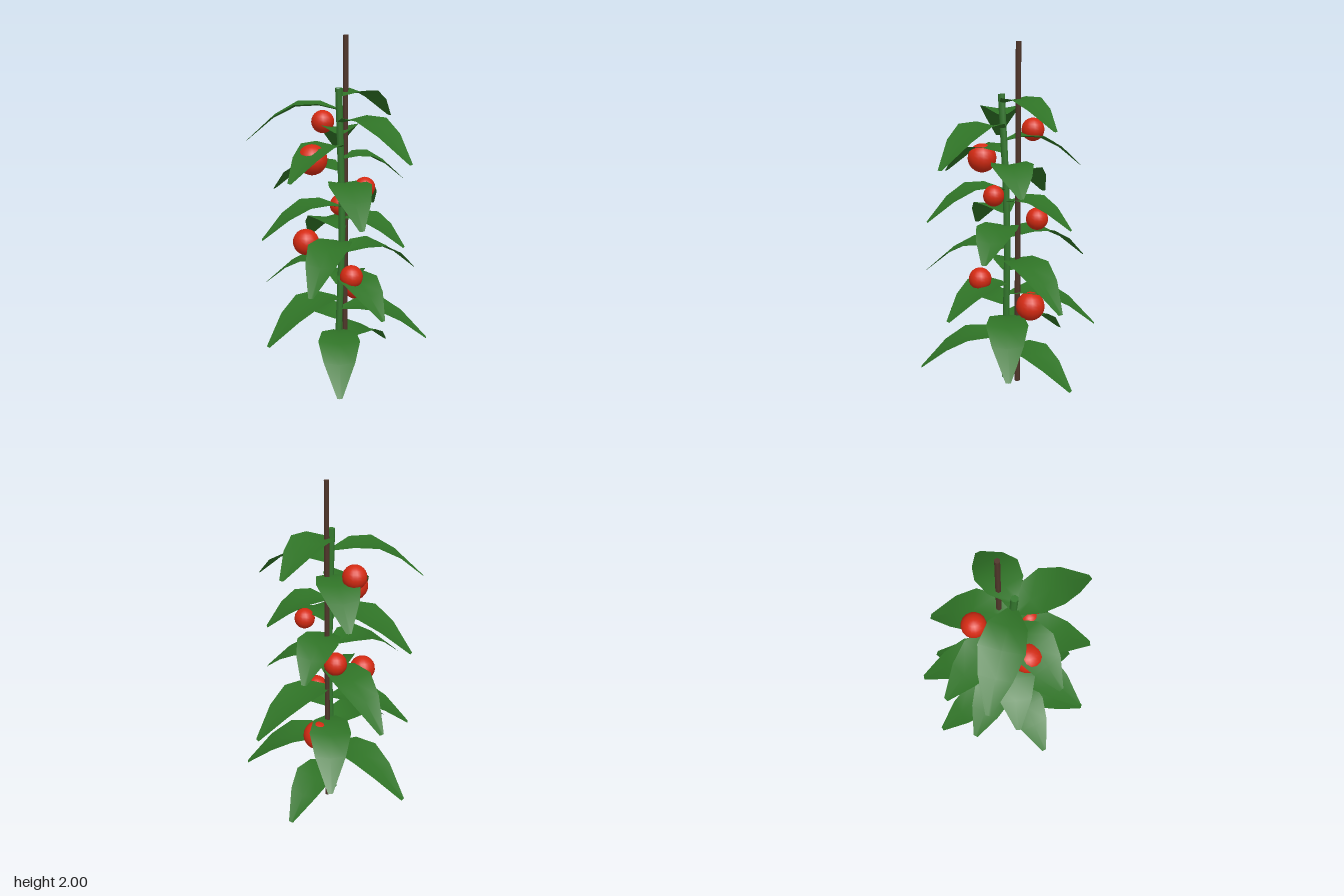
import * as THREE from 'three';

const material = (name, color, side = THREE.FrontSide) => {
  const m = new THREE.MeshStandardMaterial({ color, side });
  m.name = name;
  return m;
};

// Leaf cross-sections: [fraction of length, height, half width, edge lift]
const LEAF_ROWS = [
  [0, 0, 0.03, 0.008],
  [0.2, 0.022, 0.1, 0.018],
  [0.45, 0.016, 0.12, 0.02],
  [0.7, -0.045, 0.088, 0.013],
  [1, -0.165, 0.014, 0.002],
];

// A cupped, drooping blade that grows along +x
function leafGeometry(length) {
  const positions = [], index = [];
  const droop = length / 0.48;
  LEAF_ROWS.forEach(([t, y, w, lift], i) => {
    for (let j = -1; j <= 1; j++) {
      positions.push(t * length, y * droop + Math.abs(j) * lift, j * w);
    }
    if (i === LEAF_ROWS.length - 1) return;
    for (let j = 0; j < 2; j++) {
      const a = i * 3 + j, b = a + 1, c = a + 3, d = a + 4;
      index.push(a, b, c, b, d, c);
    }
  });
  const g = new THREE.BufferGeometry();
  g.setAttribute('position', new THREE.Float32BufferAttribute(positions, 3));
  g.setIndex(index);
  g.computeVertexNormals();
  return g;
}

export function createModel() {
  const group = new THREE.Group();
  group.name = 'tomatoPlant';
  const leafGreen = material('leaf green', 0x2f7326, THREE.DoubleSide);
  const stemGreen = material('stem green', 0x34782e);
  const wood = material('stake brown', 0x50362a);
  const red = material('tomato red', 0xd42a12);

  const add = (name, geometry, mat, x = 0, y = 0, z = 0) => {
    const mesh = new THREE.Mesh(geometry, mat);
    mesh.name = name;
    mesh.position.set(x, y, z);
    group.add(mesh);
    return mesh;
  };

  // Support stake
  add('stake', new THREE.CylinderGeometry(0.015, 0.017, 2, 6), wood, 0.073, 1, -0.012);

  // Gently bending stem, closed at both ends
  const curve = new THREE.CatmullRomCurve3([
    new THREE.Vector3(-0.01, 0, -0.005),
    new THREE.Vector3(0.004, 0.43, 0.005),
    new THREE.Vector3(0.016, 0.86, 0.012),
    new THREE.Vector3(0.004, 1.29, 0.014),
    new THREE.Vector3(-0.02, 1.72, 0.018),
  ]);
  add('stem', new THREE.TubeGeometry(curve, 16, 0.02, 7), stemGreen);
  const top = curve.getPoint(1), bottom = curve.getPoint(0);
  add('stemTop', new THREE.CircleGeometry(0.02, 7), stemGreen, top.x, top.y, top.z).rotation.x = -Math.PI / 2;
  add('stemBottom', new THREE.CircleGeometry(0.02, 7), stemGreen, bottom.x, 0.001, bottom.z).rotation.x = Math.PI / 2;

  // Leaves spiral up the stem by the golden angle
  const lengths = [
    0.45, 0.5, 0.52, 0.51, 0.5, 0.51, 0.41, 0.46, 0.5, 0.49, 0.52,
    0.37, 0.46, 0.38, 0.45, 0.48, 0.35, 0.41, 0.43, 0.5, 0.51, 0.38,
  ];
  lengths.forEach((length, i) => {
    const y = 0.2 + i * 0.07;
    const p = curve.getPoint(y / 1.72);
    const leaf = add('leaf', leafGeometry(length), leafGreen, p.x, y, p.z);
    leaf.rotation.y = -i * 2.4;
    leaf.geometry.translate(0.012, 0, 0);
  });

  // Ripe fruit: x, y, z, radius
  [
    [0.17, 0.505, -0.005, 0.084],
    [-0.07, 0.67, 0.16, 0.066],
    [-0.155, 0.84, -0.115, 0.076],
    [0.14, 1.005, -0.11, 0.065],
    [0.035, 1.175, 0.165, 0.059],
    [-0.193, 1.34, -0.023, 0.085],
    [0.06, 1.51, -0.178, 0.067],
  ].forEach(([x, y, z, r]) => add('tomato', new THREE.SphereGeometry(r, 16, 12), red, x, y, z));

  return group;
}
